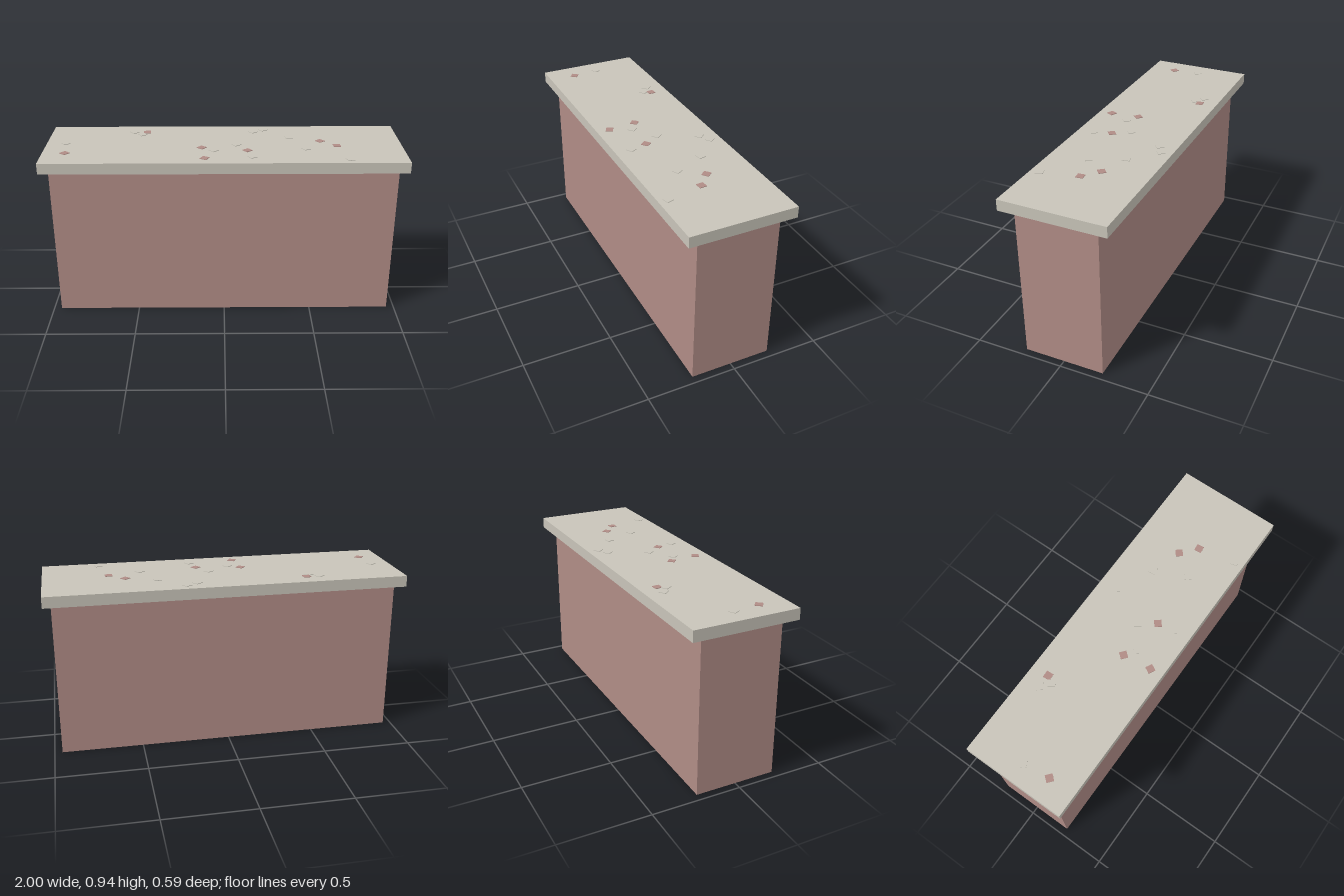
import * as THREE from 'three';

export function createModel() {
  const group = new THREE.Group();
  const brick = new THREE.MeshStandardMaterial({ name: 'dustyPink', color: 0xb08c86 });
  const stone = new THREE.MeshStandardMaterial({ name: 'paleStone', color: 0xc8c4b9 });

  function box(name, material, w, h, d, x, y, z, degrees = 0) {
    const mesh = new THREE.Mesh(new THREE.BoxGeometry(w, h, d), material);
    mesh.name = name;
    mesh.position.set(x, y, z);
    mesh.rotation.y = THREE.MathUtils.degToRad(degrees);
    group.add(mesh);
  }

  // Solid base and overhanging slab
  const slabTop = 0.942;
  box('base', brick, 1.914, 0.88, 0.454, 0, 0.44, 0);
  box('slab', stone, 2, slabTop - 0.88, 0.59, 0, (slabTop + 0.88) / 2, 0);

  // Small chips scattered on the slab: x, z, turn in degrees
  const pinkChips = [
    [-0.875, 0.14, -40], [-0.447, -0.195, 4], [-0.124, 0.06, 50], [-0.106, 0.22, -28],
    [0.13, 0.105, 38], [0.547, -0.04, -50], [0.634, 0.035, 5],
  ];
  const stoneChips = [
    [-0.893, -0.014, 30], [-0.52, -0.196, 40], [-0.47, -0.156, 35], [-0.057, 0.103, 40],
    [0.07, 0.014, 35], [0.154, 0.202, 30], [0.171, -0.198, 40], [0.231, -0.232, 35],
    [0.375, -0.098, 10], [0.457, 0.081, 30], [0.68, 0.242, 15],
  ];
  const chips = (name, material, list) => list.forEach(([x, z, turn], i) =>
    box(name + (i + 1), material, 0.04, 0.006, 0.04, x, slabTop, z, turn));
  chips('pinkChip', brick, pinkChips);
  chips('stoneChip', stone, stoneChips);

  return group;
}
